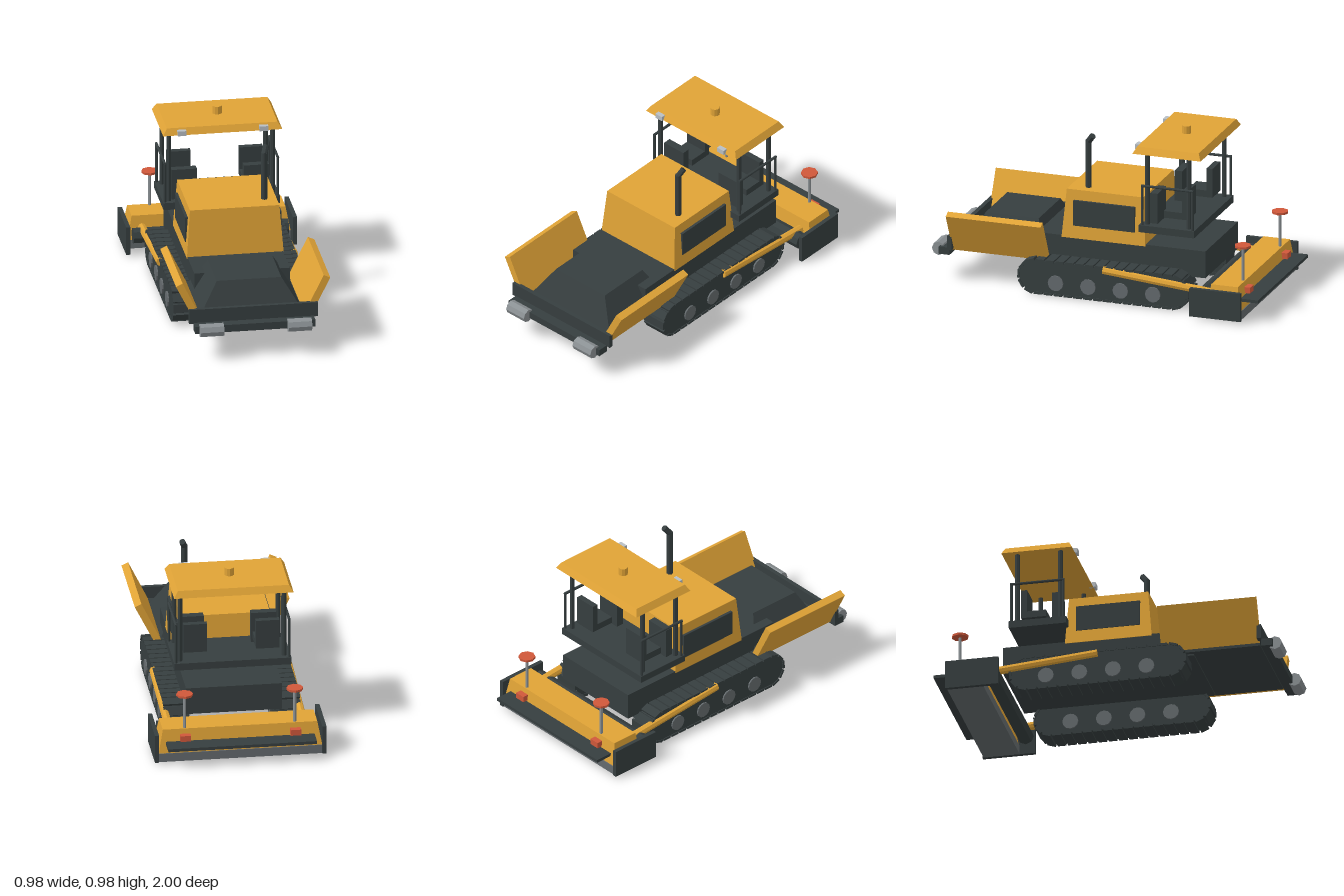
import * as THREE from 'three';

const mat = (name, color) => {
  const m = new THREE.MeshStandardMaterial({ color, flatShading: true });
  m.name = name;
  return m;
};

export function createModel() {
  const root = new THREE.Group();
  root.name = 'roadPaver';
  const yellow = mat('machine yellow', 0xe0a336);
  const dark = mat('charcoal', 0x363e3f);
  const steel = mat('dark steel', 0x646a6d);
  const roller = mat('roller grey', 0x8b9194);
  const lamp = mat('lamp glass', 0xb9bfc4);
  const red = mat('signal red', 0xd0583a);

  const add = (name, geo, material, parent = root) => {
    const m = new THREE.Mesh(geo, material);
    m.name = name;
    parent.add(m);
    return m;
  };
  // box given by its extents on each axis
  const box = (name, material, [x0, x1], [y0, y1], [z0, z1], parent) => {
    const m = add(name, new THREE.BoxGeometry(x1 - x0, y1 - y0, z1 - z0), material, parent);
    m.position.set((x0 + x1) / 2, (y0 + y1) / 2, (z0 + z1) / 2);
    return m;
  };
  // box symmetric in x whose bottom and top rectangles differ: [halfX, y, z0, z1]
  const frustum = (name, material, bottom, top) => {
    const g = new THREE.BoxGeometry(2, 2, 2);
    const p = g.attributes.position;
    for (let i = 0; i < p.count; i++) {
      const [hx, y, z0, z1] = p.getY(i) > 0 ? top : bottom;
      p.setXYZ(i, p.getX(i) * hx, y, p.getZ(i) > 0 ? z1 : z0);
    }
    g.computeVertexNormals();
    return add(name, g, material);
  };
  // cylinder between two points
  const rod = (name, material, a, b, r, sides = 8, parent = root) => {
    const A = new THREE.Vector3(...a), B = new THREE.Vector3(...b);
    const d = B.clone().sub(A);
    const m = add(name, new THREE.CylinderGeometry(r, r, d.length(), sides), material, parent);
    m.position.copy(A).add(B).multiplyScalar(0.5);
    m.quaternion.setFromUnitVectors(new THREE.Vector3(0, 1, 0), d.normalize());
    return m;
  };
  const span = (s, a, b) => (s > 0 ? [a, b] : [-b, -a]);

  // chassis and engine hood
  box('chassis', dark, [-0.275, 0.275], [0.175, 0.335], [-0.63, 0.48]);
  frustum('engineHood', yellow, [0.278, 0.325, -0.27, 0.235], [0.257, 0.61, -0.25, 0.21]);
  rod('exhaustPipe', dark, [0.187, 0.6, 0.103], [0.187, 0.893, 0.103], 0.018);
  rod('exhaustTip', dark, [0.187, 0.885, 0.103], [0.202, 0.925, 0.073], 0.018);

  // hopper with material heap and front push rollers
  box('hopperFloor', dark, [-0.3, 0.3], [0.185, 0.215], [0.3, 0.87]);
  frustum('materialHeap', dark, [0.3, 0.2, 0.32, 0.81], [0.185, 0.385, 0.405, 0.725]);
  box('hopperFrontPlate', dark, [-0.37, 0.37], [0.2, 0.285], [0.865, 0.89]);
  box('pushBeam', dark, [-0.345, 0.345], [0.162, 0.205], [0.885, 0.95]);

  // track outline: two rounded ends joined by straight runs
  const front = 0.355, back = -0.465, cy = 0.11, run = front - back;
  const trackShape = new THREE.Shape();
  const R = 0.096;
  for (let i = 0; i <= 6; i++) {
    const a = -Math.PI / 2 + (i / 6) * Math.PI;
    trackShape[i ? 'lineTo' : 'moveTo'](front + R * Math.cos(a), cy + R * Math.sin(a));
  }
  for (let i = 0; i <= 6; i++) {
    const a = Math.PI / 2 + (i / 6) * Math.PI;
    trackShape.lineTo(back + R * Math.cos(a), cy + R * Math.sin(a));
  }
  // point and turn angle at distance d along the outline
  const trackPoint = (d, r) => {
    const arc = Math.PI * r;
    if (d < run) return [front - d, cy + r, 0];
    d -= run;
    if (d < arc) return [back - r * Math.sin(d / r), cy + r * Math.cos(d / r), d / r];
    d -= arc;
    if (d < run) return [back + d, cy - r, Math.PI];
    d -= run;
    return [front + r * Math.sin(d / r), cy - r * Math.cos(d / r), Math.PI + d / r];
  };

  for (const s of [1, -1]) {
    const track = new THREE.Group();
    track.name = s > 0 ? 'leftTrack' : 'rightTrack';
    root.add(track);
    const g = new THREE.ExtrudeGeometry(trackShape, { depth: 0.14, bevelEnabled: false });
    g.rotateY(-Math.PI / 2);
    add('trackBody', g, dark, track).position.x = s * 0.317 + 0.07;
    const pads = 38, r = 0.098, total = 2 * run + 2 * Math.PI * r;
    const padGeo = new THREE.BoxGeometry(0.15, 0.014, 0.05);
    for (let i = 0; i < pads; i++) {
      const [z, y, a] = trackPoint(((i + 0.5) / pads) * total, r);
      const pad = add('trackPad', padGeo, dark, track);
      pad.position.set(s * 0.317, y, z);
      pad.rotation.x = -a;
    }
    for (const z of [0.23, 0.035, -0.16, -0.355])
      rod('roadWheel', steel, [s * 0.238, 0.083, z], [s * 0.396, 0.083, z], 0.046, 12, track);

    // hopper wing
    const wing = new THREE.Shape([[0.443, 0.425], [0.405, 0.443], [0.29, 0.208], [0.325, 0.19]]
      .map(([x, y]) => new THREE.Vector2(s * x, y)));
    add('hopperWing', new THREE.ExtrudeGeometry(wing, { depth: 0.57, bevelEnabled: false }), yellow)
      .position.z = 0.303;
    rod('pushRoller', roller, [s * 0.185, 0.185, 0.96], [s * 0.32, 0.185, 0.96], 0.04);

    // hood side window
    box('hoodVent', dark, span(s, 0.255, 0.277), [0.4, 0.55], [-0.205, 0.165]);

    // canopy posts, lamps and guard rails
    for (const z of [-0.29, -0.54])
      rod('canopyPost', dark, [s * 0.298, 0.45, z], [s * 0.298, 0.9, z], 0.014);
    box('canopyLamp', lamp, span(s, 0.21, 0.26), [0.896, 0.925], [-0.24, -0.202]);
    for (const z of [-0.268, -0.57])
      rod('railPost', dark, [s * 0.324, 0.46, z], [s * 0.324, 0.705, z], 0.008);
    rod('handRail', dark, [s * 0.324, 0.704, -0.262], [s * 0.324, 0.704, -0.576], 0.008);

    // operator station
    box('controlConsole', dark, span(s, 0.135, 0.28), [0.465, 0.65], [-0.345, -0.3]);
    box('seatCushion', dark, span(s, 0.14, 0.275), [0.51, 0.55], [-0.52, -0.38]);
    box('seatBack', dark, span(s, 0.14, 0.275), [0.51, 0.683], [-0.525, -0.49]);

    // tow arm, screed end plate, lights and level markers
    rod('towArm', yellow, [s * 0.384, 0.193, -0.055], [s * 0.384, 0.135, -0.72], 0.024);
    box('screedEndPlate', dark, span(s, 0.467, 0.491), [0.015, 0.183], [-0.917, -0.61]);
    box('tailLight', red, span(s, 0.285, 0.345), [0.14, 0.175], [-0.925, -0.88]);
    rod('markerPole', roller, [s * 0.315, 0.19, -0.87], [s * 0.315, 0.41, -0.87], 0.009);
    rod('markerDisc', red, [s * 0.315, 0.404, -0.87], [s * 0.315, 0.417, -0.87], 0.048);
  }

  // platform and canopy
  box('operatorPlatform', dark, [-0.335, 0.335], [0.428, 0.47], [-0.583, -0.25]);
  frustum('canopyRoof', yellow, [0.342, 0.896, -0.625, -0.215], [0.318, 0.935, -0.605, -0.235]);
  rod('beacon', yellow, [0, 0.93, -0.42], [0, 0.981, -0.42], 0.027, 10);

  // auger and screed
  rod('auger', dark, [-0.445, 0.11, -0.66], [0.445, 0.11, -0.66], 0.047);
  frustum('screedBody', yellow, [0.468, 0.065, -0.905, -0.705], [0.442, 0.205, -0.885, -0.725]);
  box('screedPlate', steel, [-0.468, 0.468], [0.015, 0.066], [-0.91, -0.7]);
  box('rearWalkway', dark, [-0.425, 0.425], [0.115, 0.133], [-1, -0.88]);

  return root;
}
